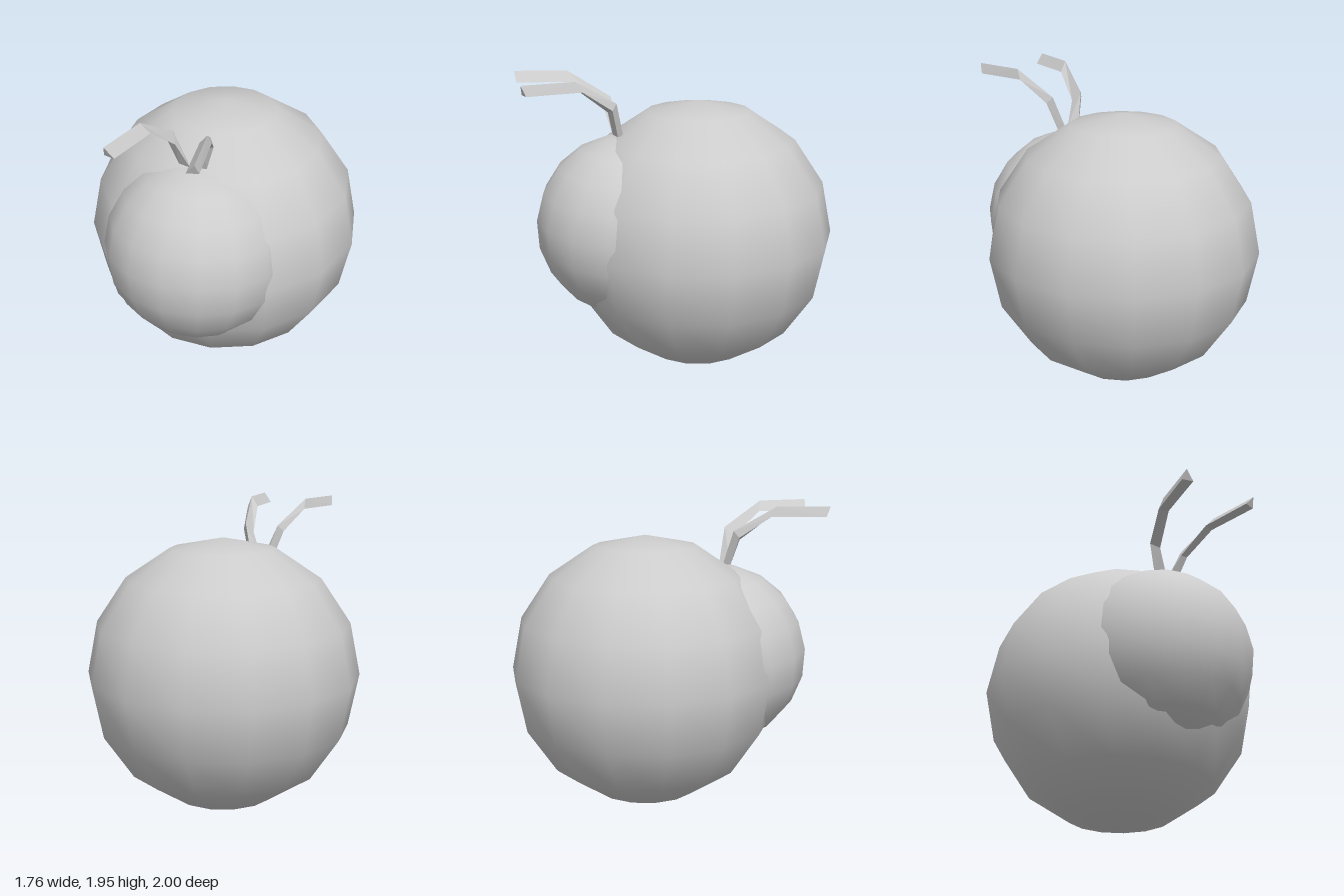
import * as THREE from 'three';

const shellGrey = new THREE.MeshStandardMaterial({ color: 0xcccccc });
shellGrey.name = 'shellGrey';
const feelerGrey = shellGrey.clone();
feelerGrey.name = 'feelerGrey';
feelerGrey.flatShading = true;

// Three-sided bent feeler, lofted through triangular sections (top, outer, inner corner)
const feelerSections = [
  [[0.05, 1.57, 0.36], [0.09, 1.57, 0.40], [0.01, 1.57, 0.42]],
  [[0.12, 1.79, 0.41], [0.15, 1.75, 0.44], [0.085, 1.73, 0.46]],
  [[0.205, 1.95, 0.67], [0.215, 1.885, 0.63], [0.15, 1.885, 0.65]],
  [[0.265, 1.95, 1.0], [0.28, 1.885, 0.97], [0.21, 1.885, 0.99]],
];

function feelerGeometry(side) {
  const positions = [];
  const face = (a, b, c) => {
    const corners = side > 0 ? [a, b, c] : [a, c, b];
    for (const [x, y, z] of corners) positions.push(x * side, y, z);
  };
  for (let s = 0; s < feelerSections.length - 1; s++) {
    const back = feelerSections[s], front = feelerSections[s + 1];
    for (let i = 0; i < 3; i++) {
      const j = (i + 1) % 3;
      face(back[i], front[i], front[j]);
      face(back[i], front[j], back[j]);
    }
  }
  // end caps
  const [a, b, c] = feelerSections[0];
  face(a, b, c);
  const [d, e, f] = feelerSections[feelerSections.length - 1];
  face(d, f, e);
  const geometry = new THREE.BufferGeometry();
  geometry.setAttribute('position', new THREE.Float32BufferAttribute(positions, 3));
  geometry.computeVertexNormals();
  return geometry;
}

export function createModel() {
  const model = new THREE.Group();
  model.name = 'roundBug';

  // large round body
  const body = new THREE.Mesh(new THREE.SphereGeometry(0.88, 14, 8), shellGrey);
  body.name = 'body';
  body.position.set(0, 0.885, -0.14);
  model.add(body);

  // smaller head sunk into the front of the body
  const head = new THREE.Mesh(new THREE.SphereGeometry(0.593, 16, 10), shellGrey);
  head.name = 'head';
  head.position.set(0, 0.97, 0.328);
  head.rotation.x = -0.1;
  model.add(head);

  // pair of feelers
  for (const side of [1, -1]) {
    const feeler = new THREE.Mesh(feelerGeometry(side), feelerGrey);
    feeler.name = side > 0 ? 'leftFeeler' : 'rightFeeler';
    model.add(feeler);
  }
  return model;
}
